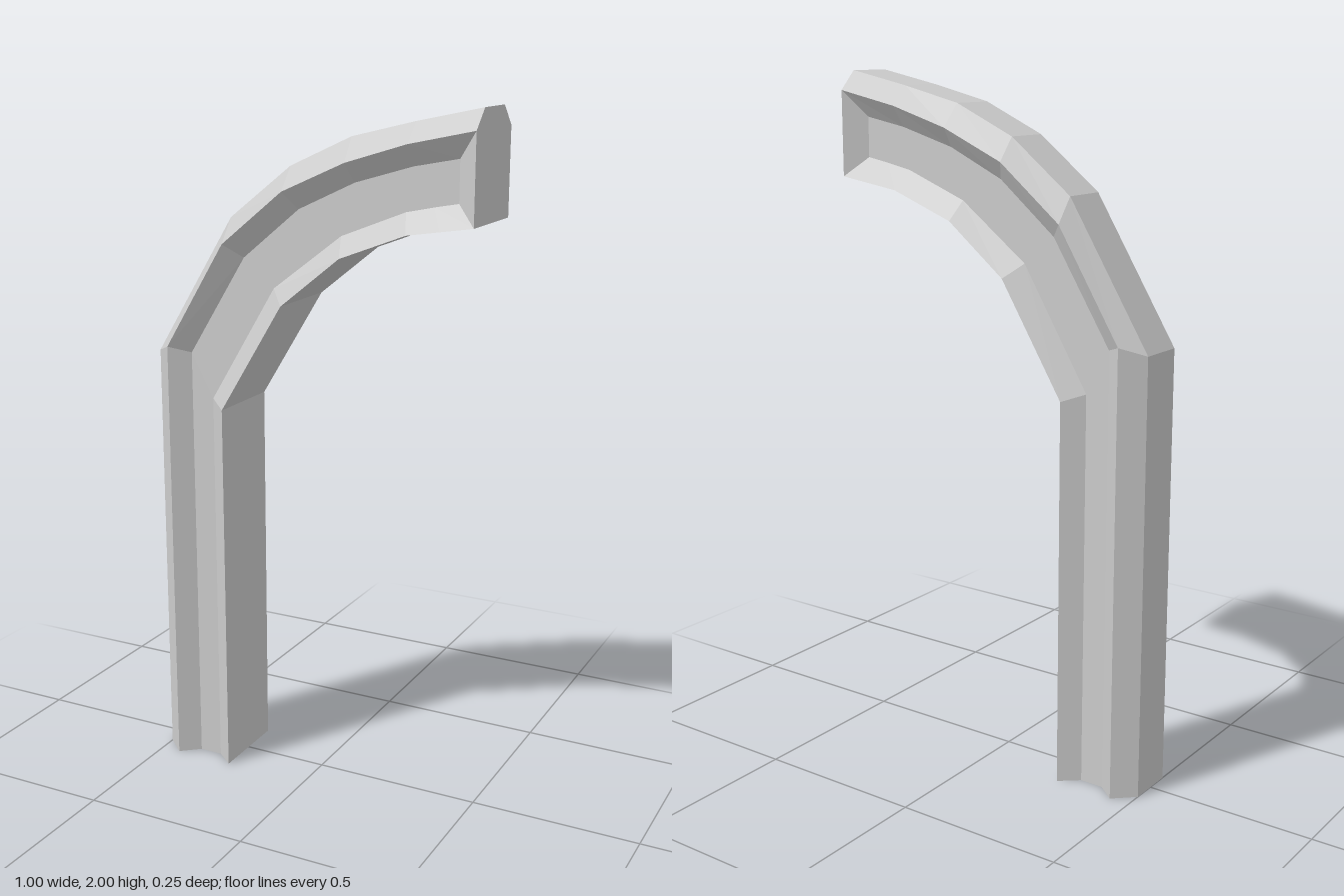
import * as THREE from 'three';

// Rails running along the post and arch: half depth z, then [x, y] at each station
const rails = [
  { z: 0.07, pts: [[-0.5, 0], [-0.5, 1.275], [-0.25, 1.68], [-0.06, 1.83], [0.125, 1.915], [0.31, 1.96], [0.5, 2]] },
  { z: 0.125, pts: [[-0.44, 0], [-0.44, 1.3], [-0.25, 1.61], [-0.06, 1.765], [0.13, 1.85], [0.31, 1.905], [0.5, 1.945]] },
  { z: 0.08, pts: [[-0.385, 0], [-0.385, 1.28], [-0.205, 1.57], [-0.03, 1.715], [0.14, 1.795], [0.31, 1.845], [0.44, 1.87]] },
  { z: 0.08, pts: [[-0.315, 0], [-0.315, 1.15], [-0.11, 1.49], [0.1, 1.65], [0.29, 1.725], [0.37, 1.742], [0.44, 1.755]] },
  { z: 0.125, pts: [[-0.26, 0], [-0.26, 1.13], [-0.065, 1.45], [0.115, 1.595], [0.31, 1.67], [0.405, 1.685], [0.5, 1.7]] },
];

// Closed cross-section: the front side outer to inner, then mirrored back
function ring(points) {
  const front = points.map(([x, y, z]) => new THREE.Vector3(x, y, z));
  const back = points.map(([x, y, z]) => new THREE.Vector3(x, y, -z)).reverse();
  return [...front, ...back];
}

function sweptBeam() {
  const rings = rails[0].pts.map((_, s) => ring(rails.map(r => [...r.pts[s], r.z])));
  // The groove closes up to a full end face
  const end = rails.map(r => [...r.pts[6], r.z]);
  rings.push(ring([end[0], end[1], end[1], end[4], end[4]]));

  const positions = [];
  const tri = (a, b, c) => {
    if (new THREE.Triangle(a, b, c).getArea() < 1e-7) return;
    for (const p of [a, b, c]) positions.push(p.x, p.y, p.z);
  };
  const quad = (a, b, c, d) => { tri(a, b, c); tri(a, c, d); };

  // Sides
  for (let r = 0; r < rings.length - 1; r++) {
    const lo = rings[r], hi = rings[r + 1], n = lo.length;
    for (let i = 0; i < n; i++) {
      const j = (i + 1) % n;
      quad(lo[i], lo[j], hi[j], hi[i]);
    }
  }
  // Foot and end caps, as strips from front to back
  const foot = rings[0], tip = rings[rings.length - 1];
  for (let i = 0; i < 4; i++) {
    quad(foot[9 - i], foot[8 - i], foot[i + 1], foot[i]);
    quad(tip[i], tip[i + 1], tip[8 - i], tip[9 - i]);
  }

  const geometry = new THREE.BufferGeometry();
  geometry.setAttribute('position', new THREE.Float32BufferAttribute(positions, 3));
  geometry.computeVertexNormals();
  return geometry;
}

export function createModel() {
  const group = new THREE.Group();
  group.name = 'archSegment';
  const material = new THREE.MeshStandardMaterial({ color: 0xcccccc, flatShading: true });
  const beam = new THREE.Mesh(sweptBeam(), material);
  beam.name = 'groovedArchBeam';
  group.add(beam);
  return group;
}
